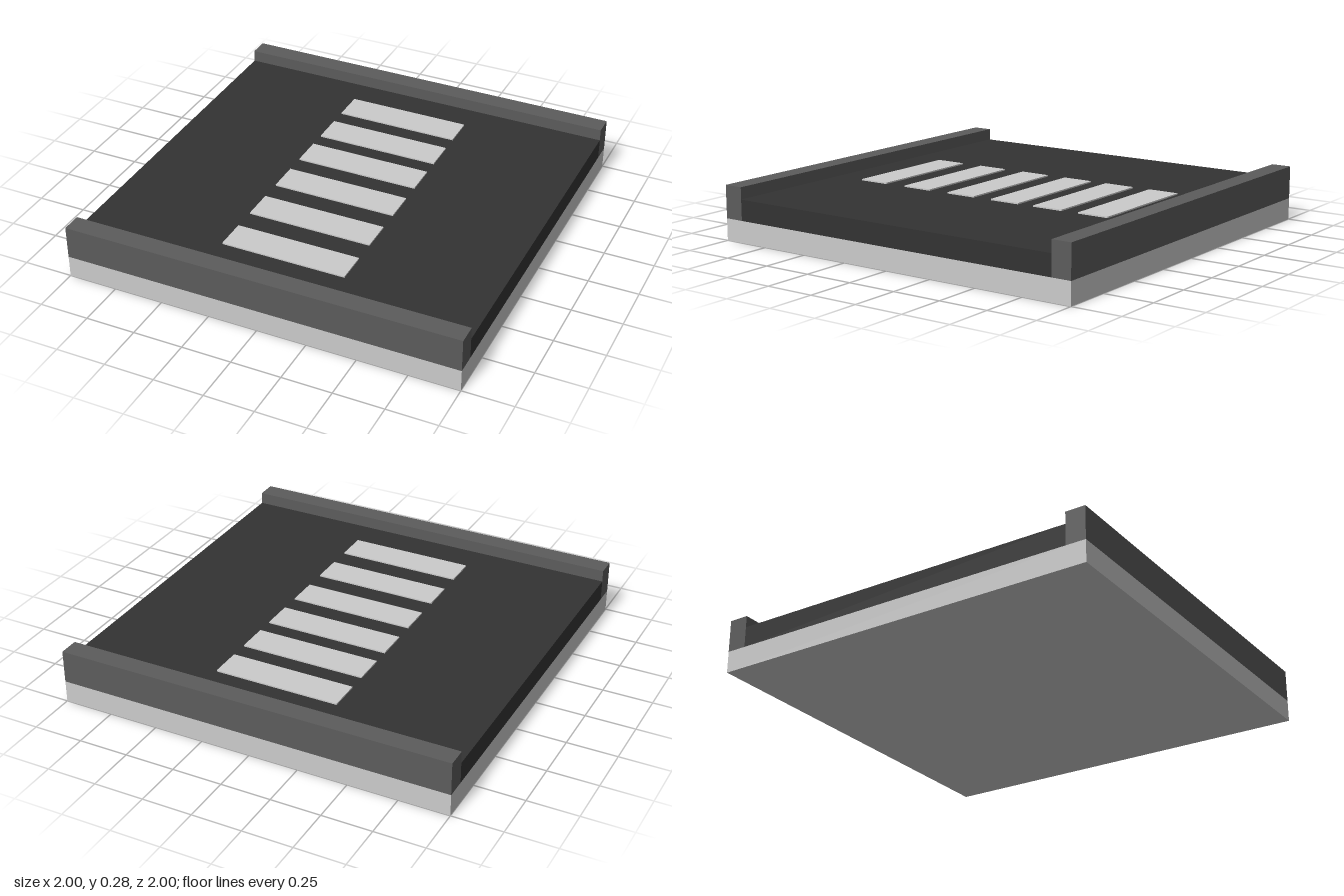
import * as THREE from 'three';

const mat = (color) => new THREE.MeshStandardMaterial({ color, flatShading: true });

export function createModel() {
  const group = new THREE.Group();
  const concrete = mat(0xcccccc);
  const asphalt = mat(0x333333);
  const stone = mat(0x5c5c5c);

  // Box spanning heights y0..y1, centred on x = 0 and at the given z
  function slab(name, width, depth, y0, y1, z, material) {
    const mesh = new THREE.Mesh(new THREE.BoxGeometry(width, y1 - y0, depth), material);
    mesh.name = name;
    mesh.position.set(0, (y0 + y1) / 2, z);
    group.add(mesh);
  }

  // Foundation and road surface
  slab('base', 2, 2, 0, 0.11, 0, concrete);
  slab('roadSurface', 2, 1.8, 0.11, 0.215, 0, asphalt);

  // Kerbs along the front and back edges
  slab('frontKerb', 2, 0.1, 0.11, 0.275, 0.95, stone);
  slab('backKerb', 2, 0.1, 0.11, 0.275, -0.95, stone);

  // Painted crossing stripes, slightly raised
  [-0.66, -0.407, -0.16, 0.102, 0.373, 0.65].forEach((z, i) =>
    slab(`crossingStripe${i + 1}`, 0.63, 0.16, 0.205, 0.222, z, concrete));

  return group;
}
